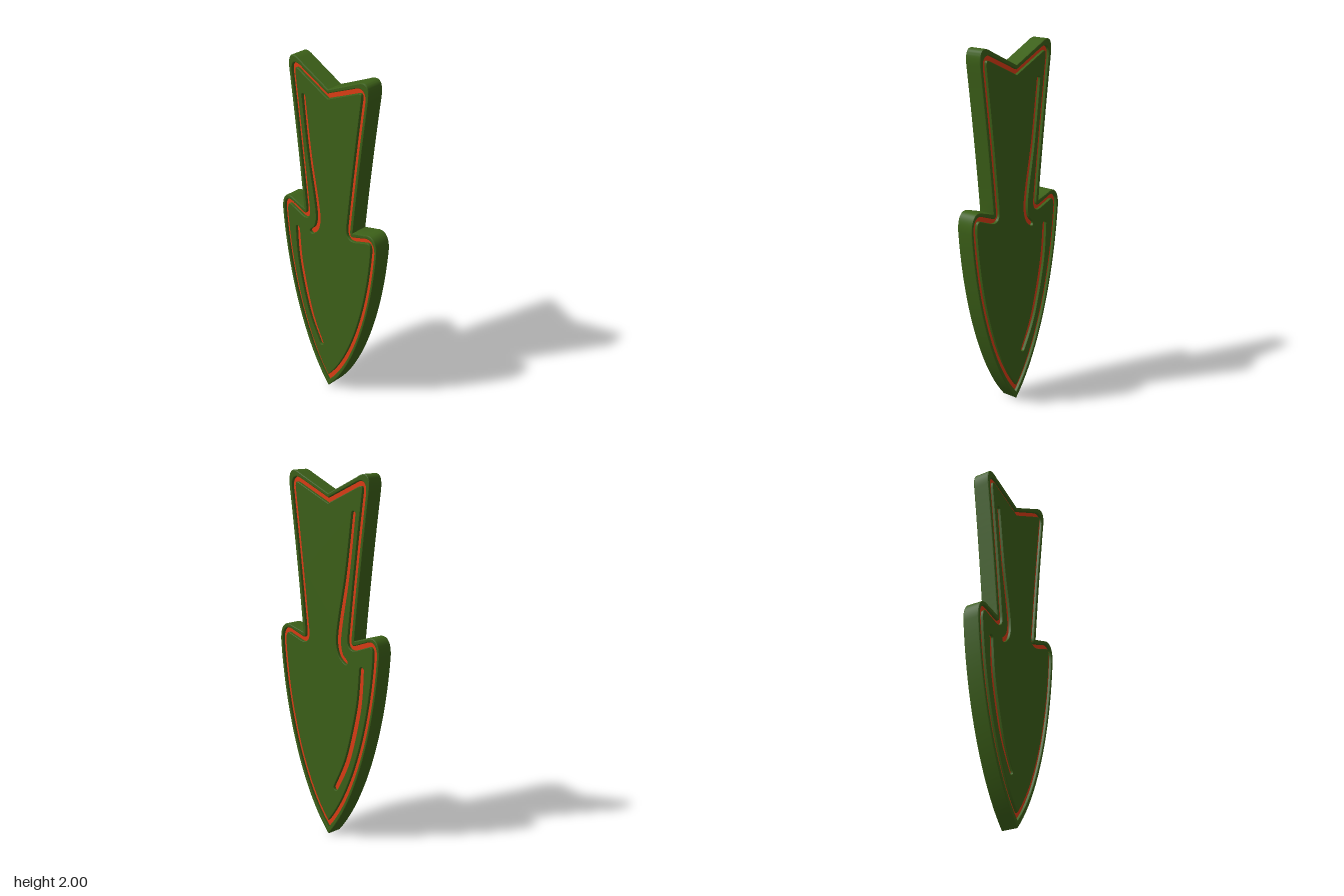
import * as THREE from 'three';
import { toCreasedNormals } from 'three/addons/utils/BufferGeometryUtils.js';

const THICKNESS = 0.1, GROOVE_DEPTH = 0.016, GROOVE_HALF = 0.013;

// Mirror a half outline (bottom centre to top centre) into a closed loop
function mirrorLoop(path) {
  const half = path.getPoints(20);
  const other = half.slice(1, -1).reverse().map(p => new THREE.Vector2(-p.x, p.y));
  return [...half, ...other];
}

// Mitred offset of a counter-clockwise closed loop, positive is outward
function offsetLoop(pts, d) {
  const n = pts.length;
  return pts.map((p, i) => {
    const a = p.clone().sub(pts[(i + n - 1) % n]).normalize();
    const b = pts[(i + 1) % n].clone().sub(p).normalize();
    const normal = new THREE.Vector2(a.y + b.y, -a.x - b.x).normalize();
    const cos = normal.x * a.y - normal.y * a.x;
    return p.clone().addScaledVector(normal, d / cos);
  });
}

// Round-ended stroke along a spline, swelling in the middle
function strokeLoop(points, rEnd, rMid) {
  const curve = new THREE.SplineCurve(points.map(p => new THREE.Vector2(...p)));
  const N = 32, sideA = [], sideB = [], out = [];
  const radius = t => rEnd + (rMid - rEnd) * Math.sin(Math.PI * t);
  for (let i = 0; i <= N; i++) {
    const t = i / N, p = curve.getPoint(t), d = curve.getTangent(t);
    const normal = new THREE.Vector2(d.y, -d.x);
    sideA.push(p.clone().addScaledVector(normal, radius(t)));
    sideB.push(p.clone().addScaledVector(normal, -radius(t)));
  }
  const cap = (t, sign) => {
    const p = curve.getPoint(t), d = curve.getTangent(t).multiplyScalar(sign);
    const start = Math.atan2(-d.x, d.y);
    for (let i = 1; i < 10; i++) {
      const a = start + Math.PI * i / 10;
      out.push(new THREE.Vector2(p.x + rEnd * Math.cos(a), p.y + rEnd * Math.sin(a)));
    }
  };
  out.push(...sideA);
  cap(1, 1);
  out.push(...sideB.reverse());
  cap(0, -1);
  return out;
}

// Slab centred on x = 0, its outline standing in the z-y plane
function slab(name, outline, holes, thickness, bevel, material) {
  const shape = new THREE.Shape(outline);
  shape.holes = holes.map(h => new THREE.Path(h));
  const depth = thickness - 2 * bevel;
  const geo = new THREE.ExtrudeGeometry(shape, {
    depth, bevelEnabled: bevel > 0, bevelThickness: bevel,
    bevelSize: bevel, bevelOffset: -bevel, bevelSegments: 2,
  });
  geo.translate(0, 0, -depth / 2);
  geo.rotateY(Math.PI / 2);
  const mesh = new THREE.Mesh(toCreasedNormals(geo, 0.35), material);
  mesh.name = name;
  return mesh;
}

export function createModel() {
  const group = new THREE.Group();
  group.name = 'arrowPlaque';
  const green = new THREE.MeshStandardMaterial({ color: 0x3c6018 });
  const red = new THREE.MeshStandardMaterial({ color: 0xdd3c14 });

  // Outer silhouette: pointed blade, rounded shoulders, flared notched tail
  const outer = new THREE.Path();
  outer.moveTo(0, 0);
  outer.bezierCurveTo(0.18, 0.2, 0.32, 0.6, 0.357, 1.05);
  outer.bezierCurveTo(0.362, 1.13, 0.33, 1.175, 0.27, 1.15);
  outer.lineTo(0.185, 1.125);
  outer.quadraticCurveTo(0.222, 1.49, 0.28, 1.91);
  outer.bezierCurveTo(0.292, 2.0, 0.26, 2.02, 0.2, 1.985);
  outer.lineTo(0, 1.89);

  // Centre line of the border groove
  const groove = new THREE.Path();
  groove.moveTo(0, 0.06);
  groove.bezierCurveTo(0.16, 0.24, 0.295, 0.62, 0.328, 1.05);
  groove.bezierCurveTo(0.333, 1.11, 0.31, 1.135, 0.27, 1.115);
  groove.lineTo(0.2, 1.09);
  groove.quadraticCurveTo(0.146, 1.071, 0.153, 1.14);
  groove.quadraticCurveTo(0.192, 1.5, 0.247, 1.9);
  groove.quadraticCurveTo(0.256, 1.971, 0.2, 1.945);
  groove.lineTo(0, 1.853);

  const grooveLoop = mirrorLoop(groove);
  const grooveOuter = offsetLoop(grooveLoop, GROOVE_HALF);
  const grooveInner = offsetLoop(grooveLoop, -GROOVE_HALF);

  // Accent strokes cut along one side of the panel
  const tailStroke = strokeLoop(
    [[0.177, 1.795], [0.135, 1.47], [0.09, 1.23], [0.075, 1.11], [0.09, 1.04], [0.126, 1.003]], 0.013, 0.017);
  const bladeStroke = strokeLoop(
    [[0.238, 0.975], [0.217, 0.757], [0.143, 0.466], [0.056, 0.283]], 0.015, 0.018);

  group.add(
    slab('rim', mirrorLoop(outer), [grooveOuter], THICKNESS, 0.005, green),
    slab('panel', grooveInner, [tailStroke, bladeStroke], THICKNESS, 0.004, green),
    // Core seen at the bottom of every groove
    slab('grooveFloor', offsetLoop(grooveLoop, GROOVE_HALF + 0.003), [], THICKNESS - 2 * GROOVE_DEPTH, 0, red),
  );
  return group;
}
